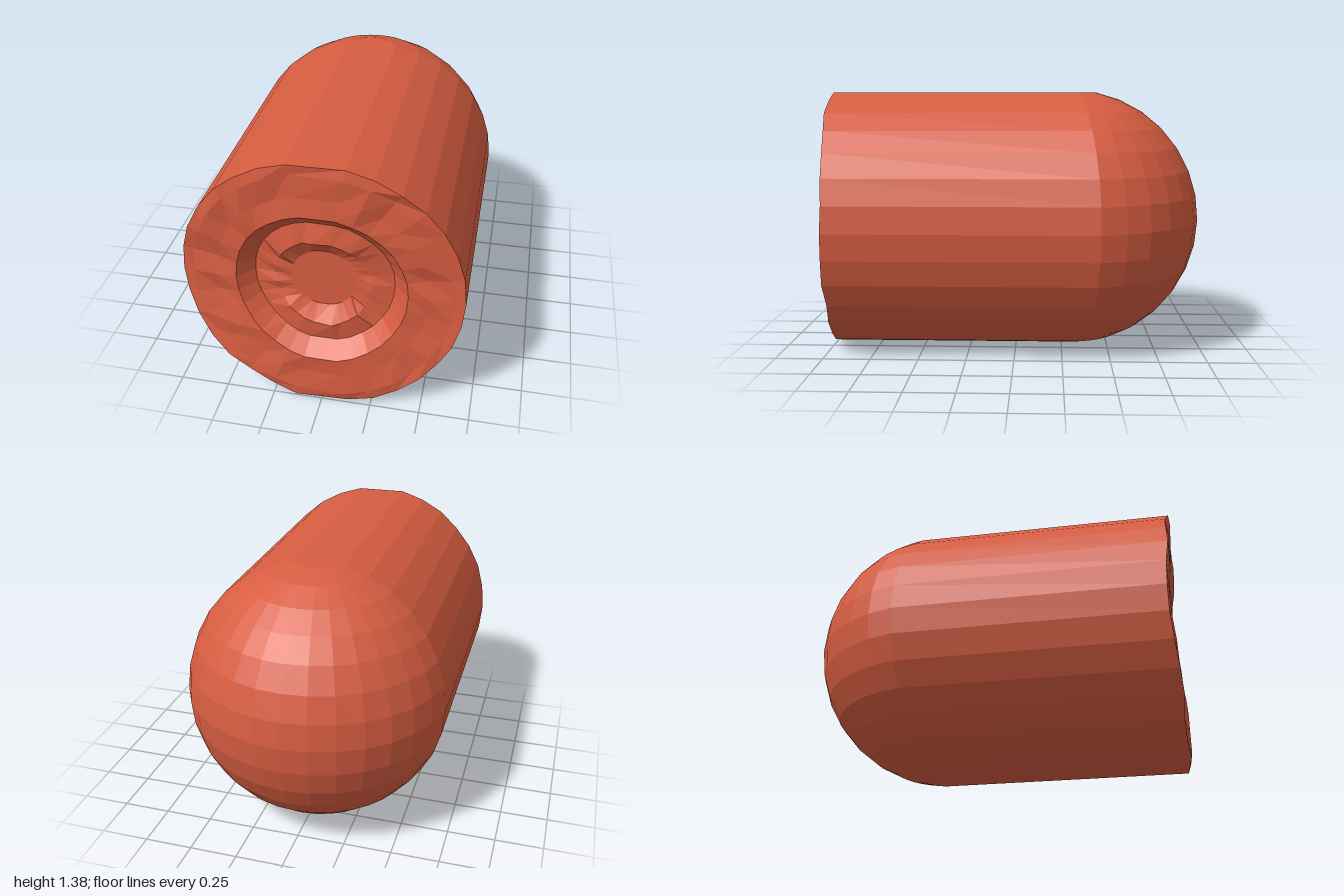
import * as THREE from 'three';

const R = 0.703, CY = 0.69, ZC = -0.297, STEP = Math.PI / 16;
const SX = Math.cos(STEP); // the flat sides meet the dome one facet in

// Collects polygons (counter-clockwise from outside) into a faceted geometry
function facets() {
  const pos = [];
  return {
    poly(...p) {
      for (let i = 1; i < p.length - 1; i++) pos.push(...p[0], ...p[i], ...p[i + 1]);
    },
    build() {
      const g = new THREE.BufferGeometry();
      g.setAttribute('position', new THREE.Float32BufferAttribute(pos, 3));
      g.computeVertexNormals();
      return g;
    },
  };
}

// Small repeatable noise in -1..1
function noise(a, b) {
  const s = Math.sin(a * 127.1 + b * 311.7) * 43758.5453;
  return (s - Math.floor(s)) * 2 - 1;
}

// Rings of the cut end: radius, depth below the rim, roughness
const rings = [
  [0.703, 0.003, 0.012], [0.65, 0.004, 0.014], [0.53, 0.004, 0.014], [0.428, -0.003, 0.004],
  [0.352, 0.075, 0.004], [0.245, 0.06, 0.012], [0.163, 0.085, 0],
];

// Point k (0..29) of a ring, running counter-clockwise from the lower right
function cutPoint(ring, k) {
  k = (k + 30) % 30;
  const [r, depth, rough] = rings[ring];
  const right = k < 15;
  const t = (right ? 15 - k : k - 14) * STEP;
  const saddle = ring === 6 ? 0.965 : 0.945 + 0.052 * Math.cos(t) ** 2;
  const z = Math.min(1, saddle - depth + rough * noise(ring + 1, k + 1));
  return [(right ? 1 : -1) * r * SX * Math.sin(t), CY + r * Math.cos(t), z];
}

// Dome point: i from top to bottom, j around the back from +x to -x
function domePoint(i, j) {
  const t = i * STEP, a = j * STEP;
  return [R * Math.sin(t) * Math.cos(a), CY + R * Math.cos(t), ZC - R * Math.sin(t) * Math.sin(a)];
}

export function createModel() {
  const group = new THREE.Group();
  const red = new THREE.MeshStandardMaterial({ color: 0xd75d41, flatShading: true });
  red.name = 'brick red';
  const add = (name, f) => {
    const m = new THREE.Mesh(f.build(), red);
    m.name = name;
    group.add(m);
  };
  const rimR = (i) => cutPoint(0, 15 - i);
  const rimL = (i) => cutPoint(0, 14 + i);

  // Rounded back end
  const dome = facets();
  for (let i = 1; i < 15; i++)
    for (let j = 1; j < 15; j++)
      dome.poly(domePoint(i, j), domePoint(i + 1, j), domePoint(i + 1, j + 1), domePoint(i, j + 1));
  add('roundedBack', dome);

  // Long sides
  const sides = facets();
  for (let i = 1; i < 15; i++) {
    sides.poly(rimR(i), rimR(i + 1), domePoint(i + 1, 1), domePoint(i, 1));
    sides.poly(domePoint(i, 15), domePoint(i + 1, 15), rimL(i + 1), rimL(i));
  }
  // Flat strips along the top and bottom, ending in the dome's first ring
  const strip = (i) => [rimL(i), rimR(i), ...Array.from({ length: 15 }, (_, j) => domePoint(i, j + 1))];
  sides.poly(...strip(1));
  sides.poly(...strip(15).reverse());
  add('body', sides);

  // Rough cut front with a stepped recess
  const cut = facets();
  for (let n = 0; n < rings.length - 1; n++)
    for (let k = 0; k < 30; k++)
      cut.poly(cutPoint(n, k), cutPoint(n, k + 1), cutPoint(n + 1, k + 1), cutPoint(n + 1, k));
  add('cutFront', cut);

  // Flat centre of the recess
  const core = facets();
  core.poly(...Array.from({ length: 30 }, (_, k) => cutPoint(rings.length - 1, k)));
  add('recessCentre', core);

  return group;
}
